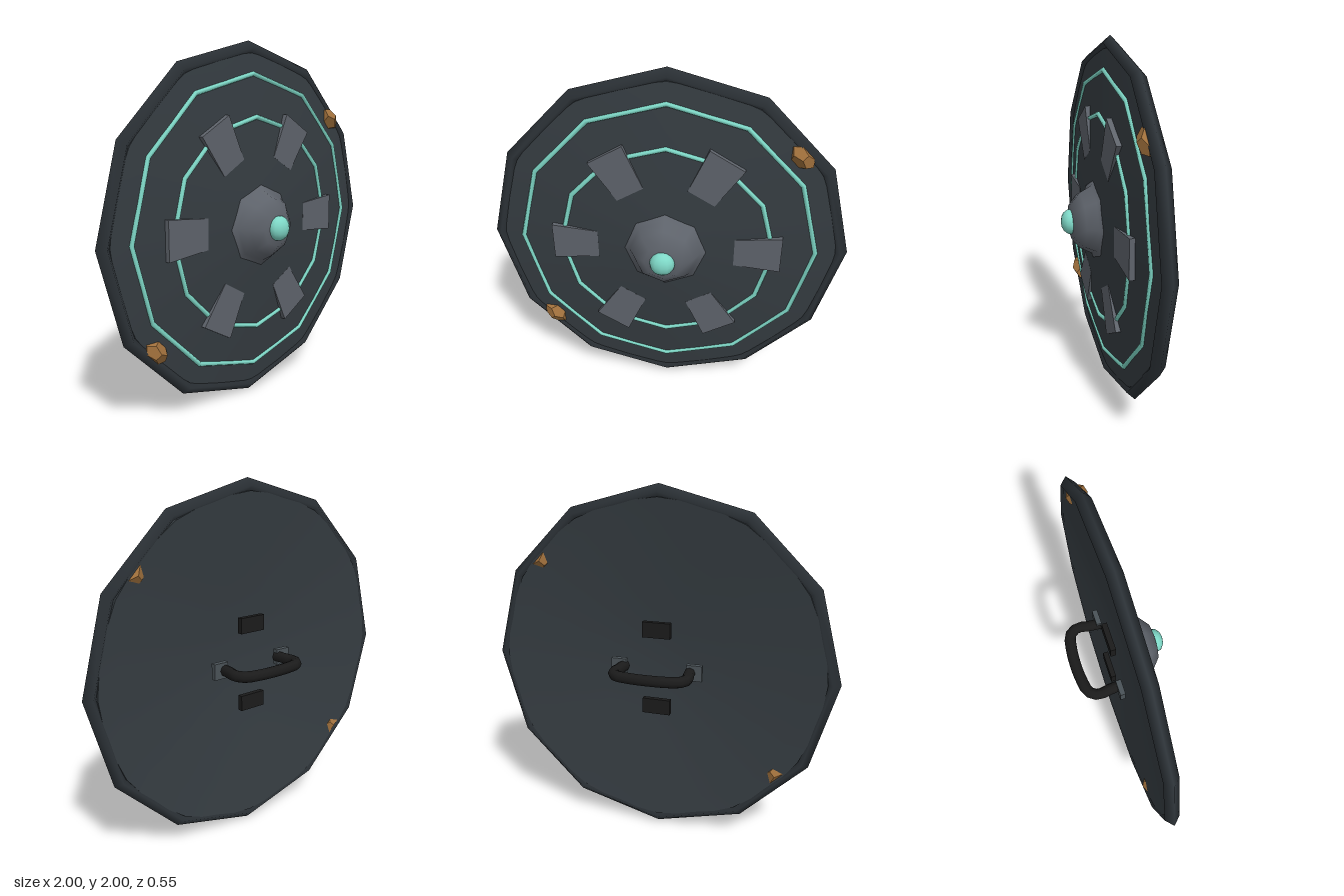
import * as THREE from 'three';
import { toCreasedNormals } from 'three/addons/utils/BufferGeometryUtils.js';

const material = (name, color, flatShading = false) =>
  Object.assign(new THREE.MeshStandardMaterial({ color, flatShading }), { name });

export function createModel() {
  const iron = material('dark iron', 0x353c41);
  const rimIron = material('rim iron', 0x2d3338);
  const mountIron = material('mount iron', 0x4a5257);
  const steel = material('grey steel', 0x5e636b);
  const glow = material('teal glow', 0x7fd9c8);
  const bronze = material('bronze', 0xa0703c, true);
  const leather = material('black leather', 0x1b1b1b);

  const shield = new THREE.Group();
  shield.name = 'shield';
  const add = (name, geometry, mat, x = 0, y = 0, z = 0) => {
    const mesh = new THREE.Mesh(geometry, mat);
    mesh.name = name;
    mesh.position.set(x, y, z);
    shield.add(mesh);
    return mesh;
  };

  // Lathe turned so that its axis points to the front; profile is [radius, z]
  const lathe = (profile, sides) =>
    new THREE.LatheGeometry(profile.map(([r, z]) => new THREE.Vector2(r, z)), sides).rotateX(Math.PI / 2);

  // Dished plate of even thickness, edge buried in the rim
  const front = [[0.934, 0.014], [0.83, 0.027], [0.6, 0.053], [0.4, 0.074], [0.2, 0.092], [0, 0.1]];
  const back = front.map(([r, z]) => [r, z - 0.053]).reverse();
  add('plate', toCreasedNormals(lathe([...back, ...front], 24), 0.5), iron);

  // Twelve-sided rim with a diamond section
  add('rim', new THREE.TorusGeometry(0.96, 0.04, 4, 12), rimIron, 0, 0, -0.008);

  // Glowing rings
  add('outerRing', new THREE.TorusGeometry(0.824, 0.0135, 6, 12), glow, 0, 0, 0.028);
  add('innerRing', new THREE.TorusGeometry(0.594, 0.0135, 6, 12), glow, 0, 0, 0.055);

  // Six tapered reinforcing plates
  const taper = new THREE.Shape([[0.38, -0.083], [0.638, -0.107], [0.638, 0.107], [0.38, 0.083]]
    .map(([x, y]) => new THREE.Vector2(x, y)));
  const taperGeometry = new THREE.ExtrudeGeometry(taper, { depth: 0.03, bevelEnabled: false });
  for (let i = 0; i < 6; i++) {
    add('reinforcement', taperGeometry, steel, 0, 0, 0.046).rotation.z = i * Math.PI / 3;
  }

  // Centre boss and gem
  add('boss', lathe([[0.235, 0.07], [0.225, 0.092], [0.197, 0.105], [0.165, 0.165],
    [0.103, 0.217], [0, 0.223]], 8), steel);
  add('gem', new THREE.SphereGeometry(0.069, 12, 8), glow, 0, 0, 0.224).scale.z = 0.74;

  // Bronze lumps wedged through opposite sides of the rim, leaning outward at the front
  const lump = new THREE.DodecahedronGeometry(1).scale(0.084, 0.054, 0.06).rotateX(-0.35);
  for (const side of [1, -1]) {
    add('bronzeLump', lump, bronze, side * 0.69, side * 0.57, 0.006)
      .rotation.z = -Math.PI / 4 + (side < 0 ? Math.PI : 0);
  }

  // Handle, its mounts and the padding on the back
  const grip = new THREE.CatmullRomCurve3([[-0.193, -0.035], [-0.2, -0.11], [-0.208, -0.17], [-0.178, -0.218],
    [-0.1, -0.237], [0, -0.243], [0.1, -0.237], [0.178, -0.218], [0.208, -0.17], [0.2, -0.11], [0.193, -0.035]]
    .map(([x, z]) => new THREE.Vector3(x, 0, z)));
  add('handle', new THREE.TubeGeometry(grip, 20, 0.032, 8), leather);
  for (const side of [1, -1]) {
    add('handleMount', new THREE.BoxGeometry(0.088, 0.09, 0.03), mountIron, side * 0.22, 0, -0.047);
    add('backPad', new THREE.BoxGeometry(0.16, 0.088, 0.03), leather, 0, side * 0.225, -0.043);
  }

  shield.position.y = 1;
  const model = new THREE.Group();
  model.name = 'model';
  model.add(shield);
  return model;
}
